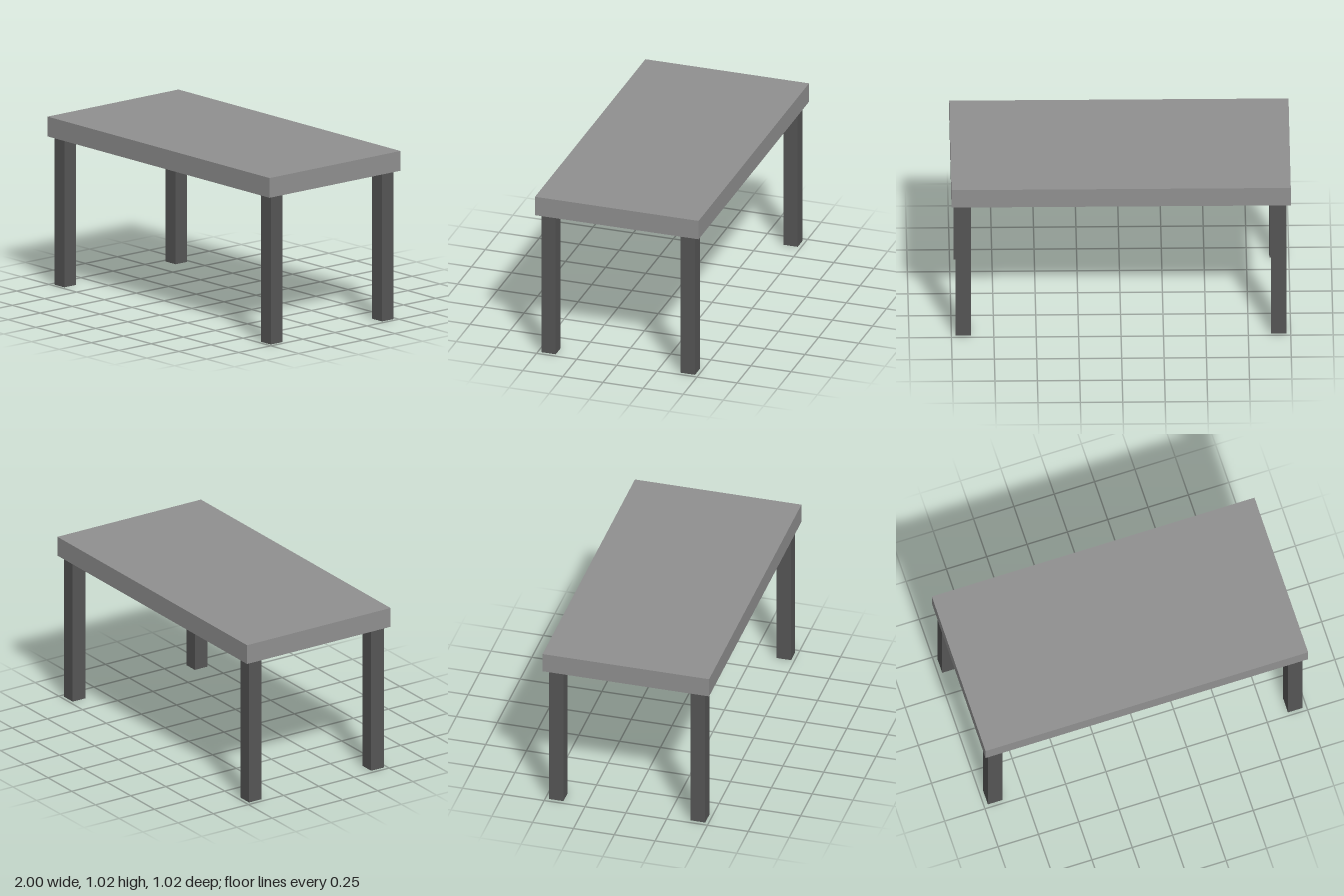
import * as THREE from 'three';

const LEG_HEIGHT = 0.9;
const LEG_WIDTH = 0.09;
const TOP_THICKNESS = 0.12;

function box(name, size, position, material) {
  const mesh = new THREE.Mesh(new THREE.BoxGeometry(...size), material);
  mesh.name = name;
  mesh.position.set(...position);
  return mesh;
}

export function createModel() {
  const table = new THREE.Group();
  table.name = 'table';

  const topMaterial = new THREE.MeshStandardMaterial({ color: 0x909090 });
  const legMaterial = new THREE.MeshStandardMaterial({ color: 0x555555 });

  // Thick rectangular slab
  table.add(box('tableTop', [2, TOP_THICKNESS, 1.02],
    [0, LEG_HEIGHT + TOP_THICKNESS / 2, 0], topMaterial));

  // Four square legs, set in slightly from the corners
  for (const [xName, x] of [['Left', 0.93], ['Right', -0.93]]) {
    for (const [zName, z] of [['front', 0.434], ['back', -0.434]]) {
      table.add(box(`${zName}${xName}Leg`, [LEG_WIDTH, LEG_HEIGHT, LEG_WIDTH],
        [x, LEG_HEIGHT / 2, z], legMaterial));
    }
  }

  return table;
}
